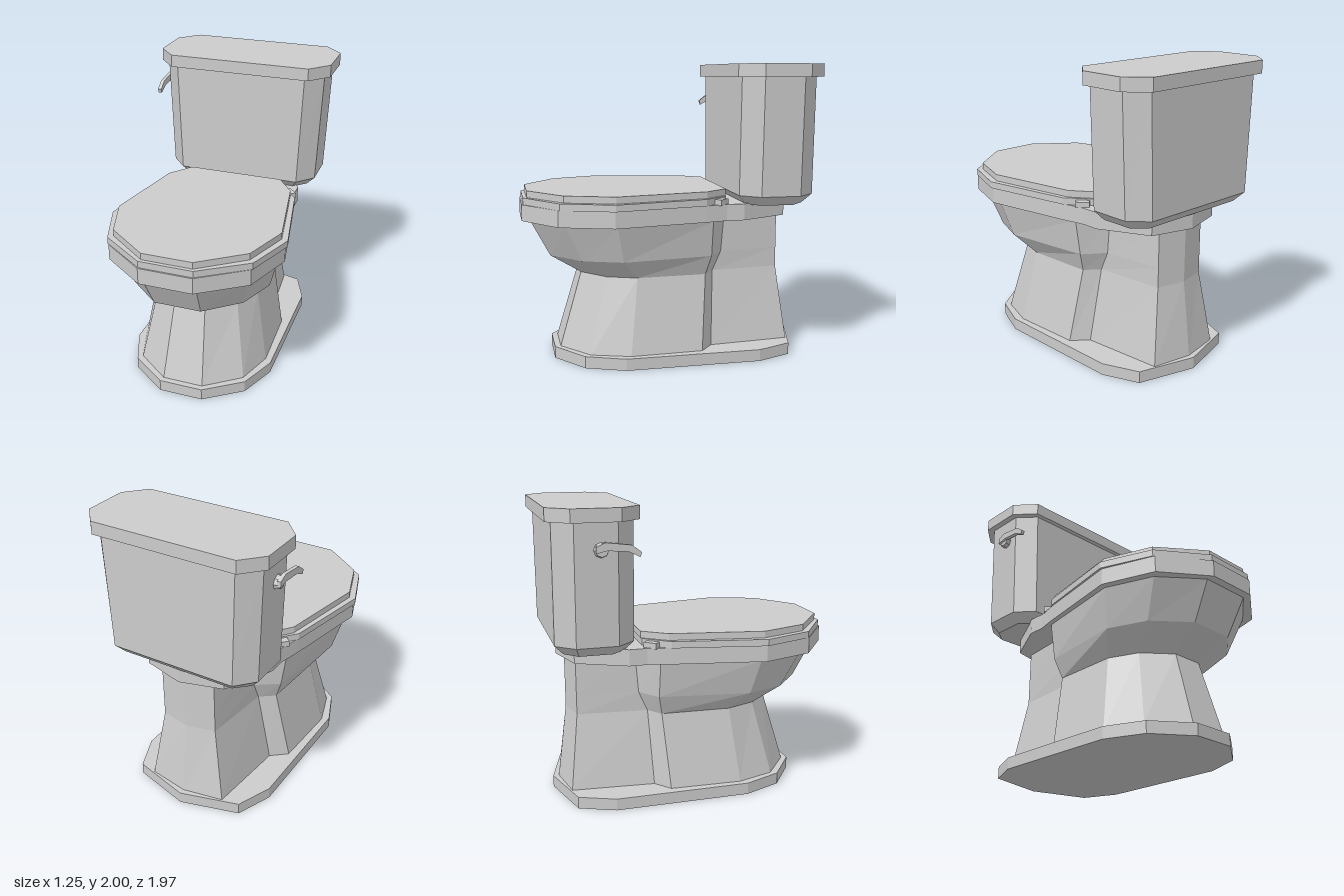
import * as THREE from 'three';

const material = new THREE.MeshStandardMaterial({ color: 0xcccccc, flatShading: true });

// Half outline [x, z] from front to back along the left side, completed by mirroring.
function mirrored(half) {
  const other = half.filter(([x]) => x > 0).reverse().map(([x, z]) => [-x, z]);
  return [...half, ...other];
}

// Joins horizontal outlines { y, half } into a closed solid.
function loft(name, sections) {
  const rings = sections.map(({ y, half }) => mirrored(half).map(([x, z]) => new THREE.Vector3(x, y, z)));
  const n = rings[0].length;
  const points = [];
  const cap = (ring, up) => {
    const contour = ring.map((p) => new THREE.Vector2(p.x, -p.z));
    for (const [a, b, c] of THREE.ShapeUtils.triangulateShape(contour, [])) {
      points.push(ring[a], ring[up ? b : c], ring[up ? c : b]);
    }
  };
  for (let r = 0; r < rings.length - 1; r++) {
    const low = rings[r], high = rings[r + 1];
    for (let i = 0; i < n; i++) {
      const j = (i + 1) % n;
      points.push(low[i], low[j], high[j], low[i], high[j], high[i]);
    }
  }
  cap(rings[0], false);
  cap(rings[rings.length - 1], true);
  const geometry = new THREE.BufferGeometry().setFromPoints(points);
  geometry.computeVertexNormals();
  const mesh = new THREE.Mesh(geometry, material);
  mesh.name = name;
  return mesh;
}

const slab = (name, y0, y1, half) => loft(name, [{ y: y0, half }, { y: y1, half }]);

// Rectangle with cut corners: outer half width, inner half width, then z front to back.
const octagon = (w, wi, z0, z1, z2, z3) => [[wi, z0], [w, z1], [w, z2], [wi, z3]];

function createHandle() {
  const handle = new THREE.Group();
  handle.name = 'flushHandle';
  const pivot = new THREE.Mesh(new THREE.CylinderGeometry(0.04, 0.05, 0.035, 8), material);
  pivot.name = 'handlePivot';
  pivot.rotation.z = Math.PI / 2;
  pivot.position.set(-0.587, 1.745, -0.66);
  // Lever seen from the side, running forward and drooping at its tip
  const profile = [[-0.7, 1.73], [-0.7, 1.77], [-0.64, 1.795], [-0.48, 1.775], [-0.42, 1.73], [-0.43, 1.7], [-0.5, 1.735], [-0.63, 1.745]];
  const shape = new THREE.Shape(profile.map(([z, y]) => new THREE.Vector2(-z, y)));
  const lever = new THREE.Mesh(new THREE.ExtrudeGeometry(shape, { depth: 0.025, bevelEnabled: false }), material);
  lever.name = 'handleLever';
  lever.rotation.y = Math.PI / 2;
  lever.position.x = -0.62;
  handle.add(pivot, lever);
  return handle;
}

export function createModel() {
  const model = new THREE.Group();
  model.name = 'toilet';

  // Floor plinth
  model.add(slab('plinth', 0, 0.08,
    [[0.15, 0.78], [0.4, 0.6], [0.505, 0.34], [0.5, -0.58], [0.4, -0.82], [0, -0.93]]));

  // Stem and bowl in front, narrower column behind
  model.add(loft('bowlAndPedestal', [
    { y: 0.08, half: [[0.14, 0.74], [0.375, 0.56], [0.46, 0.3], [0.44, -0.19], [0.33, -0.28], [0.28, -0.84], [0, -0.89]] },
    { y: 0.59, half: [[0.11, 0.59], [0.29, 0.44], [0.37, 0.24], [0.35, -0.23], [0.25, -0.305], [0.2, -0.78], [0, -0.825]] },
    { y: 0.725, half: [[0.16, 0.8], [0.385, 0.61], [0.485, 0.35], [0.4, -0.26], [0.25, -0.365], [0.2, -0.78], [0, -0.825]] },
    { y: 0.97, half: [[0.18, 0.93], [0.44, 0.72], [0.555, 0.4], [0.44, -0.26], [0.25, -0.385], [0.2, -0.78], [0, -0.825]] },
  ]));

  // Rim, extending back under the tank
  model.add(slab('rim', 0.97, 1.08,
    [[0.18, 0.985], [0.48, 0.77], [0.6, 0.42], [0.485, -0.2], [0.45, -0.35], [0.45, -0.47], [0.29, -0.8], [0, -0.88]]));

  // Seat and its cover
  model.add(slab('seat', 1.08, 1.125,
    [[0.18, 0.975], [0.49, 0.76], [0.615, 0.42], [0.495, -0.2], [0.36, -0.365]]));
  model.add(slab('seatCover', 1.125, 1.17,
    [[0.17, 0.95], [0.46, 0.73], [0.572, 0.41], [0.46, -0.21], [0.34, -0.37]]));

  // Hinge blocks at the back of the seat
  for (const side of [-1, 1]) {
    const hinge = new THREE.Mesh(new THREE.BoxGeometry(0.1, 0.04, 0.09), material);
    hinge.name = side > 0 ? 'leftHinge' : 'rightHinge';
    hinge.position.set(side * 0.41, 1.095, -0.3);
    hinge.rotation.y = side * 0.75;
    model.add(hinge);
  }

  // Tank, tapered at the bottom and flaring upward, with its lid
  model.add(loft('tank', [
    { y: 1.07, half: octagon(0.49, 0.4, -0.49, -0.58, -0.8, -0.885) },
    { y: 1.135, half: octagon(0.55, 0.44, -0.435, -0.555, -0.825, -0.945) },
    { y: 1.915, half: octagon(0.582, 0.468, -0.435, -0.555, -0.825, -0.945) },
  ]));
  model.add(slab('tankLid', 1.915, 2, octagon(0.625, 0.5, -0.4, -0.54, -0.85, -0.985)));

  model.add(createHandle());
  return model;
}
